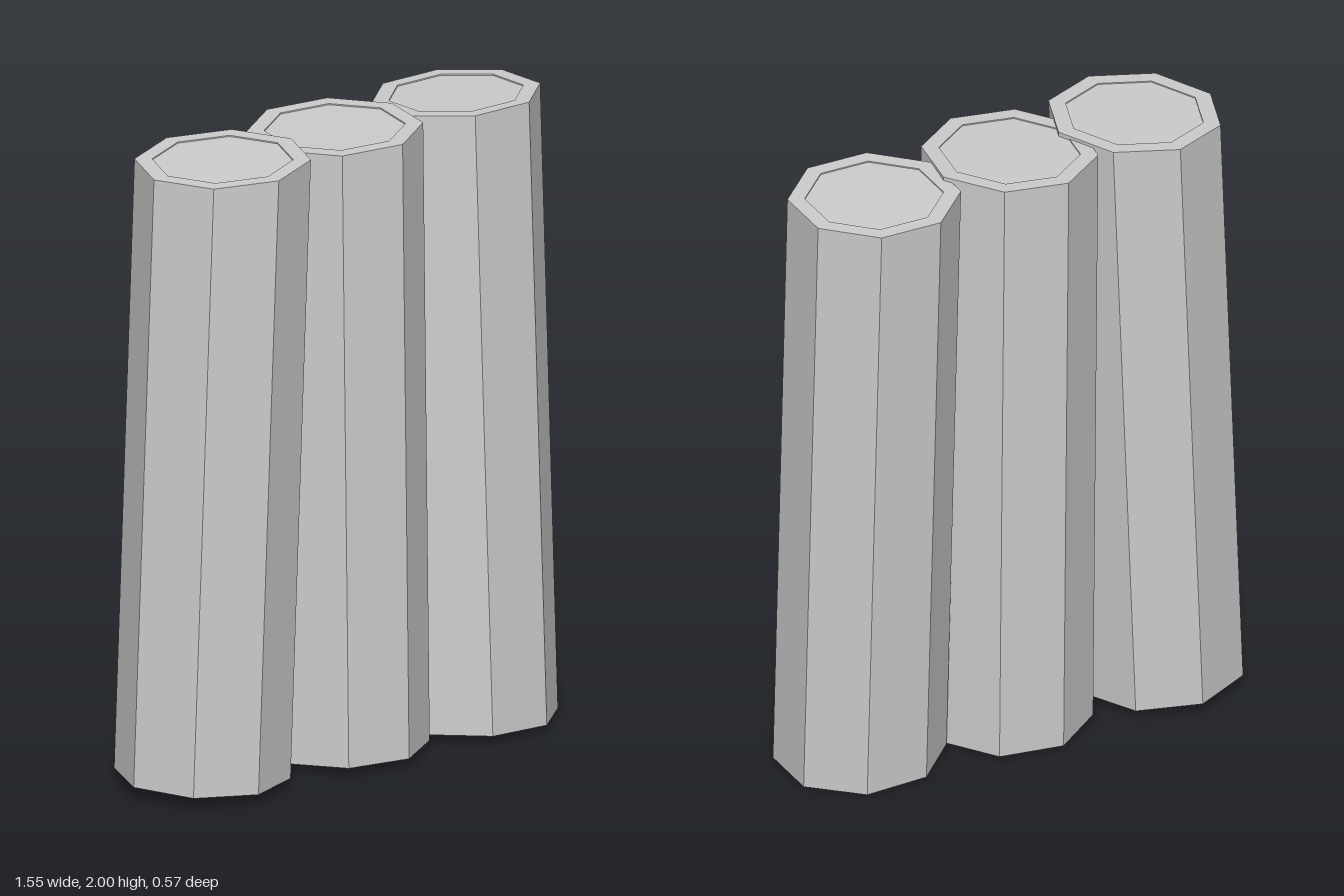
import * as THREE from 'three';

const material = new THREE.MeshStandardMaterial({ color: 0xcccccc, flatShading: true });

// Each end: centre (x, y, z) and the slope of its cut along x and z
const LOGS = [
  { name: 'rightLog', turn: 0, depth: 0.27,
    bottom: { x: -0.51, y: 0.033, z: -0.01, sx: -0.04, sz: 0 },
    top: { x: -0.43, y: 1.985, z: -0.01, sx: 0.037, sz: 0 } },
  { name: 'middleLog', turn: 10.6, depth: 0.27,
    bottom: { x: 0.02, y: 0.022, z: 0.01, sx: -0.01, sz: 0.035 },
    top: { x: 0.023, y: 1.99, z: -0.025, sx: 0.03, sz: 0 } },
  { name: 'leftLog', turn: 20.5, depth: 0.252,
    bottom: { x: 0.52, y: 0.016, z: 0.035, sx: -0.03, sz: 0.042 },
    top: { x: 0.52, y: 1.989, z: -0.05, sx: 0.01, sz: 0.04 } },
];

// Eight-sided log with shallow inset ends, leaned and cut at a slant
function makeLog({ name, turn, depth, bottom, top }) {
  const r = 0.27, inset = 0.002;
  const profile = [
    [0, inset], [0.6, inset], [0.6, 0], [1, 0],
    [1, 1], [0.8, 1], [0.8, 1 - inset], [0, 1 - inset],
  ].map(([x, y]) => new THREE.Vector2(x * r, y));
  const geometry = new THREE.LatheGeometry(profile, 8, THREE.MathUtils.degToRad(turn));
  const pos = geometry.attributes.position;
  const heightAt = (end, x, z) => end.y + end.sx * x + end.sz * z;
  for (let i = 0; i < pos.count; i++) {
    const x = pos.getX(i), t = pos.getY(i), z = pos.getZ(i) * depth / r;
    pos.setXYZ(i,
      x + THREE.MathUtils.lerp(bottom.x, top.x, t),
      THREE.MathUtils.lerp(heightAt(bottom, x, z), heightAt(top, x, z), t),
      z + THREE.MathUtils.lerp(bottom.z, top.z, t));
  }
  geometry.computeVertexNormals();
  const mesh = new THREE.Mesh(geometry, material);
  mesh.name = name;
  return mesh;
}

export function createModel() {
  const group = new THREE.Group();
  group.name = 'logRow';
  LOGS.forEach((log) => group.add(makeLog(log)));
  return group;
}
